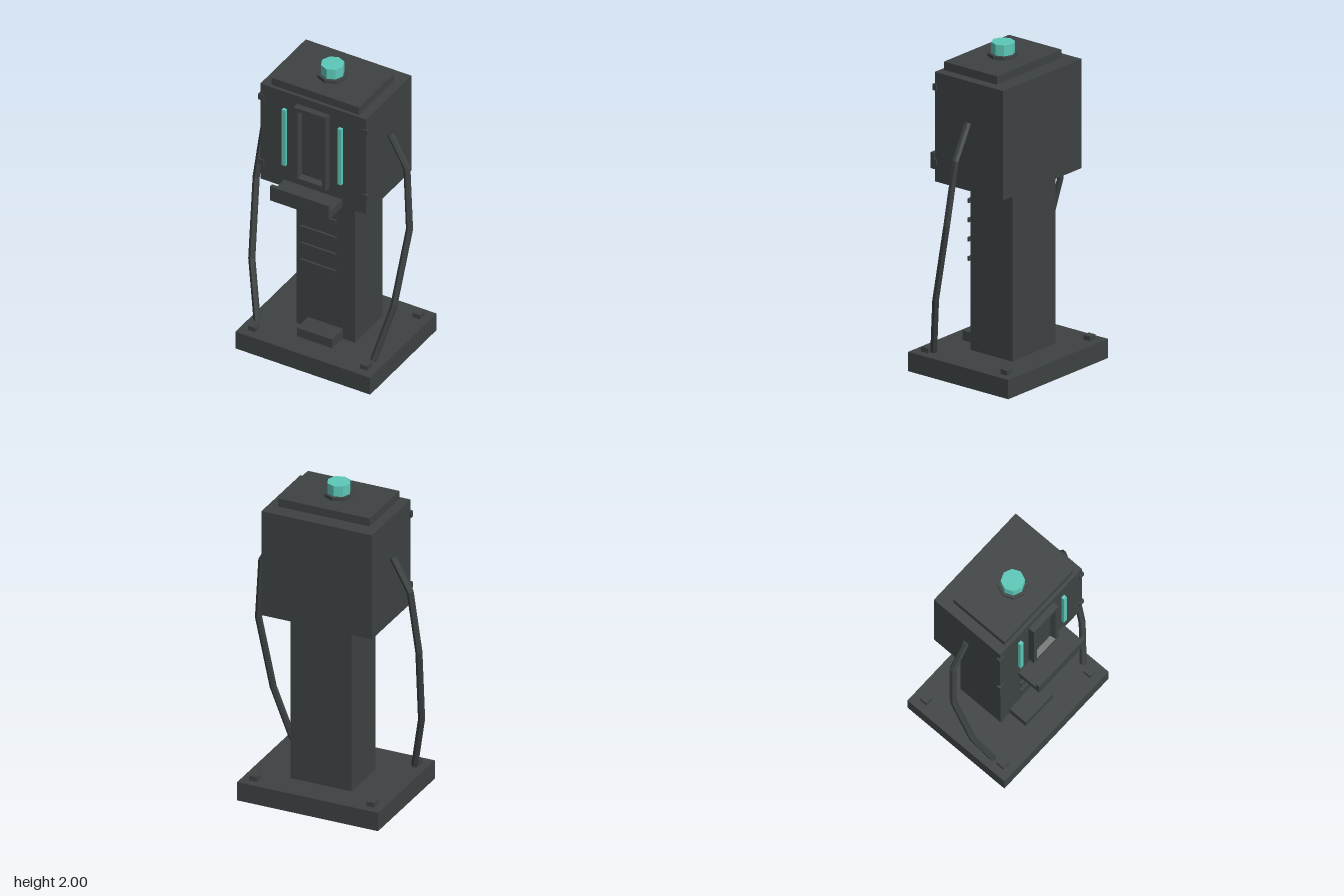
import * as THREE from 'three';

// Polyline path that samples exactly at its corners, so a tube keeps sharp bends
class Polyline extends THREE.Curve {
  constructor(points) {
    super();
    this.points = points;
  }
  at(i) {
    return this.points[THREE.MathUtils.clamp(i, 0, this.points.length - 1)];
  }
  getPointAt(u, target = new THREE.Vector3()) {
    return target.copy(this.at(Math.round(u * (this.points.length - 1))));
  }
  getTangentAt(u, target = new THREE.Vector3()) {
    const i = Math.round(u * (this.points.length - 1));
    const p = this.at(i);
    const ahead = this.at(i + 1).clone().sub(p).normalize();
    const behind = p.clone().sub(this.at(i - 1)).normalize();
    return target.copy(ahead.add(behind)).normalize();
  }
}

// Surface through concentric rectangles, each [half width, half height, z]
function rectangleRings(rings) {
  const corners = [[-1, -1], [1, -1], [1, 1], [-1, 1]];
  const pos = [];
  for (let r = 0; r < rings.length - 1; r++) {
    for (let k = 0; k < 4; k++) {
      const point = ([w, h, z], [sx, sy]) => [w * sx, h * sy, z];
      const c0 = corners[k], c1 = corners[(k + 1) % 4];
      const a = point(rings[r], c0), b = point(rings[r], c1);
      const c = point(rings[r + 1], c1), d = point(rings[r + 1], c0);
      pos.push(...a, ...b, ...c, ...a, ...c, ...d);
    }
  }
  const g = new THREE.BufferGeometry();
  g.setAttribute('position', new THREE.Float32BufferAttribute(pos, 3));
  g.computeVertexNormals();
  return g;
}

export function createModel() {
  const model = new THREE.Group();
  model.name = 'terminal';
  const metal = new THREE.MeshStandardMaterial({ color: 0x3d4242, flatShading: true, side: THREE.DoubleSide });
  metal.name = 'dark metal';
  const glow = new THREE.MeshStandardMaterial({ color: 0x5cc8b8, flatShading: true });
  glow.name = 'teal light';

  const add = (name, geometry, material, x = 0, y = 0, z = 0) => {
    const mesh = new THREE.Mesh(geometry, material);
    mesh.name = name;
    mesh.position.set(x, y, z);
    model.add(mesh);
    return mesh;
  };
  // Box given by its limits on each axis
  const box = (name, [x0, x1], [y0, y1], [z0, z1], material = metal) =>
    add(name, new THREE.BoxGeometry(x1 - x0, y1 - y0, z1 - z0), material,
      (x0 + x1) / 2, (y0 + y1) / 2, (z0 + z1) / 2);

  const cx = -0.003; // middle of the body

  // Base, column and head
  box('base', [-0.46, 0.455], [0, 0.12], [-0.4, 0.358]);
  box('column', [-0.2, 0.197], [0.12, 1.18], [-0.218, 0.098]);
  box('head', [-0.362, 0.356], [1.18, 1.86], [-0.28, 0.238]);
  box('topPlate', [-0.3, 0.296], [1.86, 1.912], [-0.182, 0.217]);

  // Button on top
  add('buttonCollar', new THREE.CylinderGeometry(0.09, 0.09, 0.02, 8), metal, cx, 1.922, 0.017);
  add('button', new THREE.CylinderGeometry(0.071, 0.071, 0.07, 8), glow, cx, 1.965, 0.017);

  // Screen frame with a tapered recess
  add('screenFrame', rectangleRings([
    [0.109, 0.262, 0.238], [0.109, 0.262, 0.279], [0.082, 0.237, 0.279],
    [0.072, 0.224, 0.245], [0, 0, 0.245],
  ]), metal, cx, 1.543, 0);

  // Tray with a raised lip
  box('tray', [-0.201, 0.197], [1.18, 1.23], [0.16, 0.4]);
  box('trayLip', [-0.201, 0.197], [1.23, 1.28], [0.376, 0.4]);

  // Column slats and foot block
  for (let i = 0; i < 4; i++) {
    const y = 1.005 - i * 0.12;
    box('slat', [-0.122, 0.117], [y - 0.013, y + 0.013], [0.175, 0.188]);
  }
  box('footBlock', [-0.122, 0.117], [0.13, 0.19], [0.09, 0.225]);

  for (const side of [-1, 1]) {
    // Light strips
    const lx = cx + side * 0.19;
    box('lightStrip', [lx - 0.0125, lx + 0.0125], [1.345, 1.742], [0.235, 0.259], glow);

    // Corner screws on the head
    const sx = cx + side * 0.351;
    for (const y of [1.303, 1.768]) {
      box('headScrew', [sx - 0.019, sx + 0.019], [y - 0.019, y + 0.019], [0.22, 0.246]);
    }

    // Bolts on the base
    const bx = cx + side * 0.381;
    for (const z of [-0.323, 0.278]) {
      box('baseBolt', [bx - 0.025, bx + 0.025], [0.12, 0.15], [z - 0.026, z + 0.026]);
    }

    // Bent cable from the head to the base, with closed ends
    const points = [
      [0.368, 1.605, -0.022], [0.482, 1.4, -0.022], [0.521, 1.0, 0.014],
      [0.482, 0.5, 0.13], [0.396, 0.14, 0.215],
    ].map(([x, y, z]) => new THREE.Vector3(cx + side * x, y, z));
    const path = new Polyline(points);
    add('cable', new THREE.TubeGeometry(path, points.length - 1, 0.021, 6, false), metal);
    for (const u of [0, 1]) {
      const end = path.getPointAt(u);
      const cap = add('cableEnd', new THREE.CircleGeometry(0.02, 6), metal, end.x, end.y, end.z);
      cap.lookAt(end.clone().addScaledVector(path.getTangentAt(u), u ? 1 : -1));
    }
  }
  return model;
}
